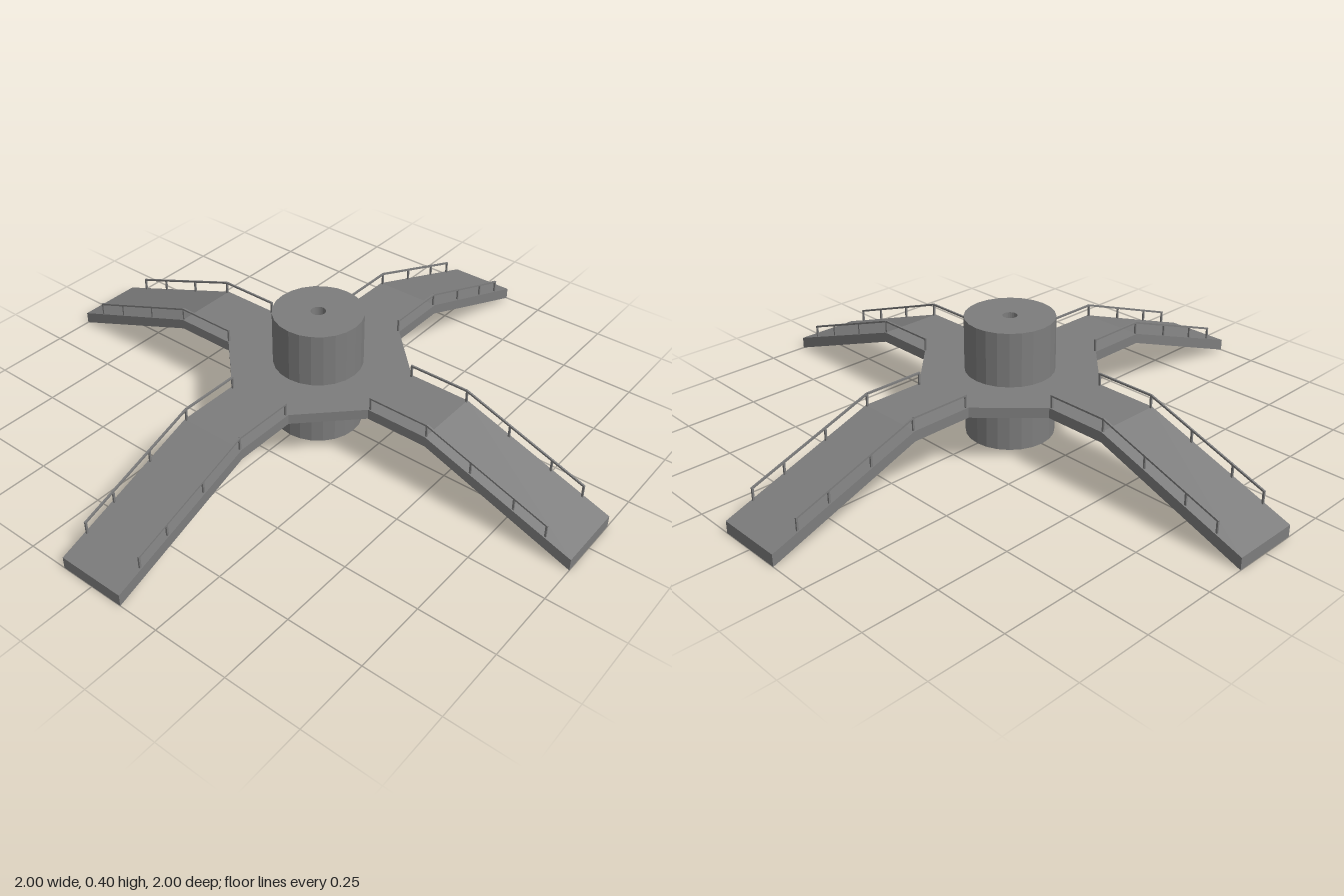
import * as THREE from 'three';

const mat = new THREE.MeshStandardMaterial({ color: 0x7d7d7d, flatShading: true });

const ARM = 0.114;      // half width of an arm
const HUB = 0.285;      // where an arm leaves the hub
const BEND = 0.493;     // where the flat arm turns into a ramp
const TOP = 0.222, UNDER = 0.188;
const BAR = 0.006;      // rail thickness

function mesh(name, geometry) {
  const m = new THREE.Mesh(geometry, mat);
  m.name = name;
  return m;
}

// height of the walking surface at distance x from the centre
const surface = (x) => x <= BEND ? TOP : TOP + (x - BEND) / (1 - BEND) * (0.04 - TOP);

// upright solid from a plan outline; its circles come out with 24 sides
function slab(shape, y0, y1) {
  const g = new THREE.ExtrudeGeometry(shape, { depth: y1 - y0, bevelEnabled: false, curveSegments: 12 });
  return g.rotateX(-Math.PI / 2).translate(0, y0, 0);
}

function addHole(shape, r) {
  shape.holes.push(new THREE.Path().absarc(0, 0, r, 0, Math.PI * 2, true));
  return shape;
}

// square bar between two points in the xy plane
function bar(name, x0, y0, x1, y1, z) {
  const m = mesh(name, new THREE.BoxGeometry(Math.hypot(x1 - x0, y1 - y0), BAR, BAR));
  m.position.set((x0 + x1) / 2, (y0 + y1) / 2, z);
  m.rotation.z = Math.atan2(y1 - y0, x1 - x0);
  return m;
}

// one handrail: flat and sloping top rails on five posts
function railing(name, z) {
  const rail = new THREE.Group();
  rail.name = name;
  const railY = (x) => surface(x) + 0.04;
  rail.add(bar('flatRail', 0.286, railY(0.286), BEND, railY(BEND), z));
  rail.add(bar('slopingRail', BEND, railY(BEND), 0.913, railY(0.913), z));
  for (const x of [0.289, BEND, 0.65, 0.8, 0.91]) {
    rail.add(bar('post', x, surface(x) - 0.004, x, railY(x), z));
  }
  return rail;
}

// ramp and both handrails of one arm, pointing along +x
function createArm() {
  const arm = new THREE.Group();
  arm.name = 'arm';
  const side = new THREE.Shape([[BEND, UNDER], [1, 0], [1, 0.04], [BEND, TOP]]
    .map(([x, y]) => new THREE.Vector2(x, y)));
  const ramp = new THREE.ExtrudeGeometry(side, { depth: 2 * ARM, bevelEnabled: false });
  arm.add(mesh('ramp', ramp.translate(0, 0, -ARM)));
  arm.add(railing('leftRailing', -0.107), railing('rightRailing', 0.107));
  return arm;
}

export function createModel() {
  const model = new THREE.Group();
  model.name = 'crossPlatform';

  // flat deck: octagonal hub with four short arms
  const outline = [];
  for (let i = 0; i < 4; i++) {
    for (const [x, y] of [[HUB, -ARM], [BEND, -ARM], [BEND, ARM], [HUB, ARM]]) {
      outline.push(new THREE.Vector2(x, y).rotateAround(new THREE.Vector2(), i * Math.PI / 2));
    }
  }
  model.add(mesh('deck', slab(addHole(new THREE.Shape(outline), 0.14), UNDER, TOP)));

  // central column with a narrow bore
  const disc = new THREE.Shape().absarc(0, 0, 0.146, 0, Math.PI * 2, false);
  model.add(mesh('column', slab(addHole(disc, 0.024), 0, 0.403)));

  // four ramps with handrails
  for (let i = 0; i < 4; i++) {
    const arm = createArm();
    arm.rotation.y = i * Math.PI / 2;
    model.add(arm);
  }
  return model;
}
